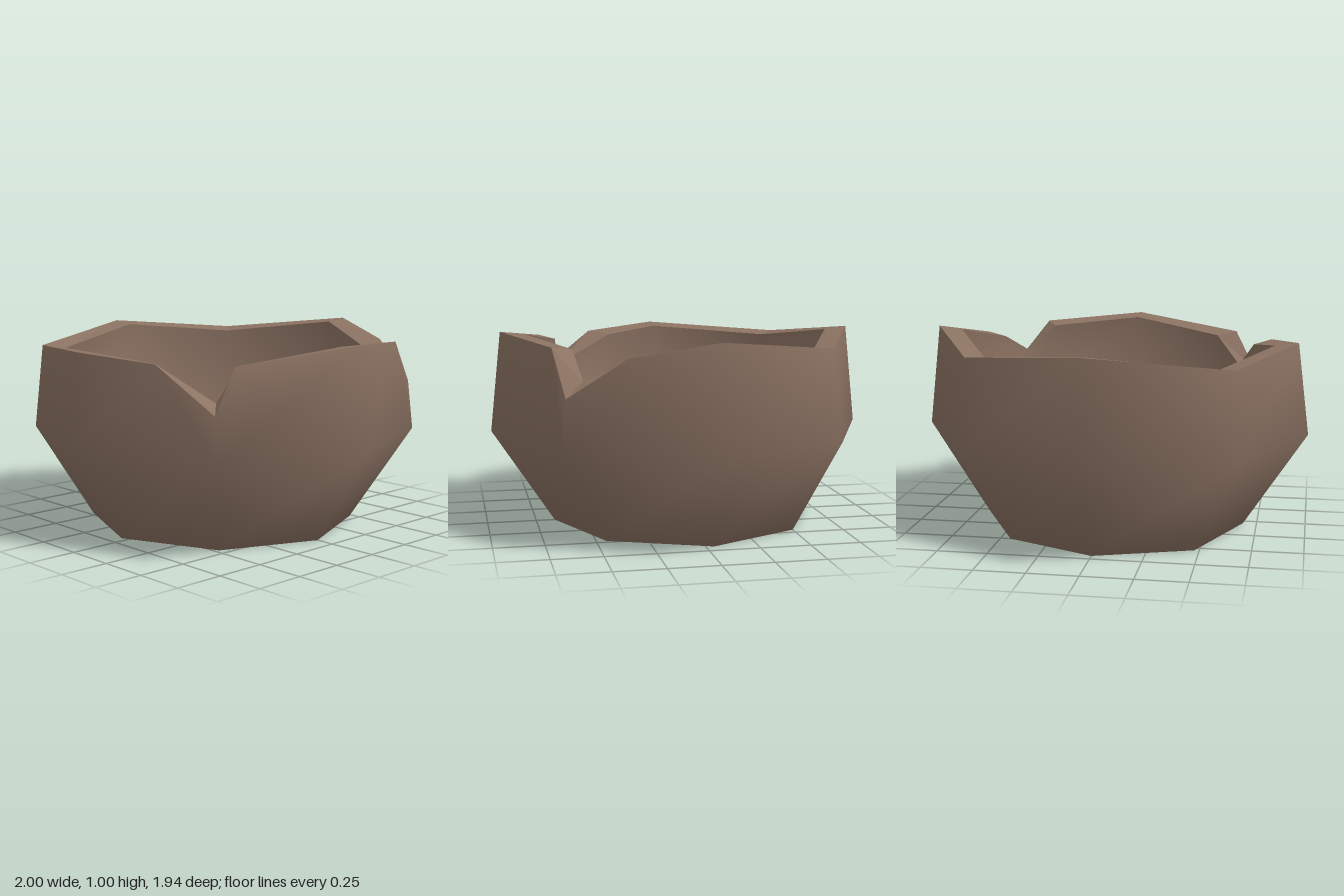
import * as THREE from 'three';
import { mergeVertices } from 'three/addons/utils/BufferGeometryUtils.js';

// Rim stations, counter-clockwise from the front: wall column, outer edge, inner edge.
// A chipped corner has three stations on one wall column.
const rim = [
  [0, [0, 0.985, 0.915], [0, 0.97, 0.79]],
  [1, [0.51, 0.95, 0.705], [0.45, 0.935, 0.6]],
  [1, [0.68, 0.73, 0.66], [0.61, 0.8, 0.57]],
  [1, [0.78, 0.92, 0.385], [0.67, 0.905, 0.32]],
  [2, [0.94, 1.0, -0.02], [0.82, 0.985, -0.02]],
  [3, [0.62, 0.93, -0.64], [0.54, 0.915, -0.56]],
  [4, [0, 0.985, -0.915], [0, 0.97, -0.8]],
  [5, [-0.67, 0.91, -0.69], [-0.58, 0.895, -0.61]],
  [6, [-0.94, 0.95, -0.02], [-0.82, 0.935, -0.02]],
  [7, [-0.79, 0.915, 0.365], [-0.7, 0.9, 0.26]],
  [7, [-0.69, 0.7, 0.655], [-0.605, 0.74, 0.57]],
  [7, [-0.58, 0.915, 0.67], [-0.48, 0.9, 0.59]],
];

// Widest outline of the eight-sided bowl, as x and z
const outline = [
  [0, 0.97], [0.7, 0.68], [1, -0.02], [0.66, -0.68],
  [0, -0.97], [-0.7, -0.73], [-1, -0.02], [-0.7, 0.68],
];

// The outline scaled and set at a height, one point per rim station
const ring = (y, sx, sz, dz = 0) =>
  rim.map(([c]) => [outline[c][0] * sx, y, outline[c][1] * sz + dz]);

// Skin a list of closed rings; collapsed triangles are left out
function skin(rings, smooth) {
  const pos = [];
  const same = (a, b) => a.every((v, k) => Math.abs(v - b[k]) < 1e-6);
  const tri = (a, b, c) => {
    if (!same(a, b) && !same(b, c) && !same(a, c)) pos.push(...a, ...b, ...c);
  };
  for (let r = 0; r < rings.length - 1; r++) {
    const lo = rings[r], up = rings[r + 1];
    for (let i = 0; i < lo.length; i++) {
      const j = (i + 1) % lo.length;
      tri(lo[i], lo[j], up[j]);
      tri(lo[i], up[j], up[i]);
    }
  }
  let geo = new THREE.BufferGeometry();
  geo.setAttribute('position', new THREE.Float32BufferAttribute(pos, 3));
  if (smooth) geo = mergeVertices(geo);
  geo.computeVertexNormals();
  return geo;
}

export function createModel() {
  const group = new THREE.Group();
  group.name = 'chippedBowl';
  const clay = new THREE.MeshStandardMaterial({ color: 0x8c7363 });
  clay.name = 'brown clay';

  const outerRim = rim.map((s) => s[1]);
  const innerRim = rim.map((s) => s[2]);
  const add = (name, rings, smooth) => {
    const mesh = new THREE.Mesh(skin(rings, smooth), clay);
    mesh.name = name;
    group.add(mesh);
  };

  // Outside wall and base, shaded smoothly as one surface
  add('outerShell', [ring(0, 0, 0), ring(0, 0.68, 0.7, -0.025), ring(0.48, 1, 1), outerRim], true);
  // Flat-faced broken rim
  add('rim', [outerRim, innerRim], false);
  // Hollow inside
  add('innerShell', [innerRim, ring(0.49, 0.87, 0.87), ring(0.12, 0.58, 0.58, -0.02), ring(0.12, 0, 0)], true);

  return group;
}
